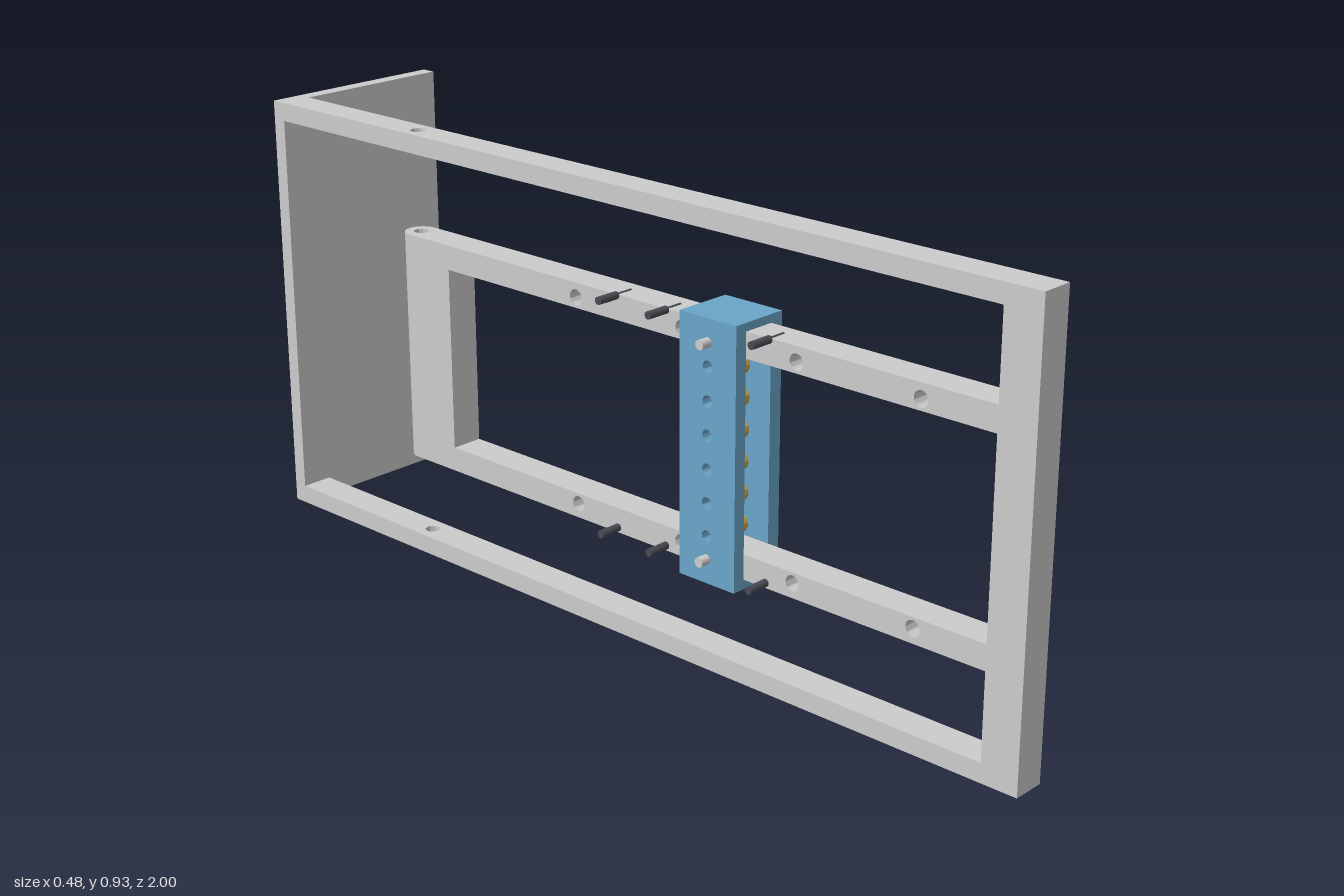
import * as THREE from 'three';
import { toCreasedNormals } from 'three/addons/utils/BufferGeometryUtils.js';

const paint = (color) => new THREE.MeshStandardMaterial({ color });
const grey = paint(0xcccccc);
const blue = paint(0x6aa5c9);
const dark = paint(0x4a4a54);
const gold = paint(0xc9a545);

const X0 = -0.19, X1 = -0.12, XC = -0.155; // frame thickness in x
const PIVOT = -0.57;                       // z of the vertical pivot holes
const SLIDER = 0.29;                       // z of the sliding carriage

function add(group, name, geometry, material) {
  const mesh = new THREE.Mesh(geometry, material);
  mesh.name = name;
  group.add(mesh);
  return mesh;
}

// box given by its lower and upper limits
function box(x0, x1, y0, y1, z0, z1) {
  return new THREE.BoxGeometry(x1 - x0, y1 - y0, z1 - z0)
    .translate((x0 + x1) / 2, (y0 + y1) / 2, (z0 + z1) / 2);
}

function rect(a0, a1, b0, b1) {
  const s = new THREE.Shape();
  s.moveTo(a0, b0);
  s.lineTo(a1, b0);
  s.lineTo(a1, b1);
  s.lineTo(a0, b1);
  s.closePath();
  return s;
}

function drill(shape, a, b, r) {
  shape.holes.push(new THREE.Path().absarc(a, b, r, 0, Math.PI * 2, true));
}

function extrude(shape, depth) {
  const g = new THREE.ExtrudeGeometry(shape, { depth, bevelEnabled: false, curveSegments: 24 });
  return toCreasedNormals(g, 0.6);
}

// shape drawn in (x, -z), raised from y0 to y1
const upright = (shape, y0, y1) => extrude(shape, y1 - y0).rotateX(-Math.PI / 2).translate(0, y0, 0);

// shape drawn in (-z, y), thickened from x0 to x1
const sideways = (shape, x0, x1) => extrude(shape, x1 - x0).rotateY(Math.PI / 2).translate(x0, 0, 0);

// round bar along x
function rod(x0, x1, r, y, z) {
  return new THREE.CylinderGeometry(r, r, x1 - x0, 20)
    .rotateZ(Math.PI / 2).translate((x0 + x1) / 2, y, z);
}

export function createModel() {
  const model = new THREE.Group();

  // outer frame: drilled rails, front post and back plate
  const frame = new THREE.Group();
  frame.name = 'outerFrame';
  model.add(frame);
  [['bottomRail', 0, 0.04], ['topRail', 0.89, 0.93]].forEach(([name, y0, y1]) => {
    const s = rect(X0, X1, -1, 0.968);
    drill(s, XC, -PIVOT, 0.016);
    add(frame, name, upright(s, y0, y1), grey);
  });
  add(frame, 'frontPost', box(X0, X1, 0.04, 0.89, 0.92, 1), grey);
  add(frame, 'backPlate', box(X0, 0.24, 0, 0.93, -1, -0.968), grey);

  // inner arms with cross holes
  const inner = new THREE.Group();
  inner.name = 'innerFrame';
  model.add(inner);
  [['lowerArm', 0.22, 0.272, 0.25], ['upperArm', 0.663, 0.715, 0.685]].forEach(([name, y0, y1, hole]) => {
    const s = rect(-0.92, 0.45, y0, y1);
    for (const z of [0.76, 0.48, 0.2, -0.08]) drill(s, -z, hole, 0.016);
    add(inner, name, sideways(s, X0, X1), grey);
  });

  // rounded upright closing the arms
  const end = new THREE.Shape();
  end.moveTo(X0, 0.45);
  end.lineTo(X1, 0.45);
  end.lineTo(X1, -PIVOT);
  end.absarc(XC, -PIVOT, 0.035, 0, Math.PI, false);
  end.closePath();
  drill(end, XC, -PIVOT, 0.016);
  add(inner, 'roundedUpright', upright(end, 0.22, 0.715), grey);

  // sliding carriage: two perforated cheeks and two caps
  const carriage = new THREE.Group();
  carriage.name = 'carriage';
  model.add(carriage);
  const z0 = SLIDER - 0.07, z1 = SLIDER + 0.07;
  [['rightCheek', -0.217, X0], ['leftCheek', X1, -0.09]].forEach(([name, x0, x1]) => {
    const s = rect(-z1, -z0, 0.2, 0.732);
    for (let i = 0; i < 6; i++) drill(s, -SLIDER, 0.297 + i * 0.068, 0.012);
    add(carriage, name, sideways(s, x0, x1), blue);
  });
  add(carriage, 'bottomCap', box(X0, X1, 0.2, 0.22, z0, z1), blue);
  add(carriage, 'topCap', box(X0, X1, 0.715, 0.732, z0, z1), blue);

  // hollow bushings between the cheeks
  for (let i = 0; i < 6; i++) {
    const ring = new THREE.Shape().absarc(-SLIDER, 0.297 + i * 0.0645, 0.019, 0, Math.PI * 2, false);
    drill(ring, -SLIDER, 0.297 + i * 0.0645, 0.011);
    add(carriage, 'bushing', sideways(ring, X0, X1), gold);
  }

  // locking pins of the carriage and stop pins along the arms
  for (const y of [0.25, 0.685]) add(carriage, 'lockingPin', rod(-0.24, X0, 0.01, y, SLIDER), grey);
  for (const y of [0.231, 0.713]) {
    for (const z of [0.03, 0.16, 0.415]) {
      add(model, 'stopPin', rod(-0.24, X0, 0.008, y, z), dark);
      add(model, 'stopPinTip', rod(X0, -0.15, 0.004, y, z), dark);
    }
  }
  return model;
}
